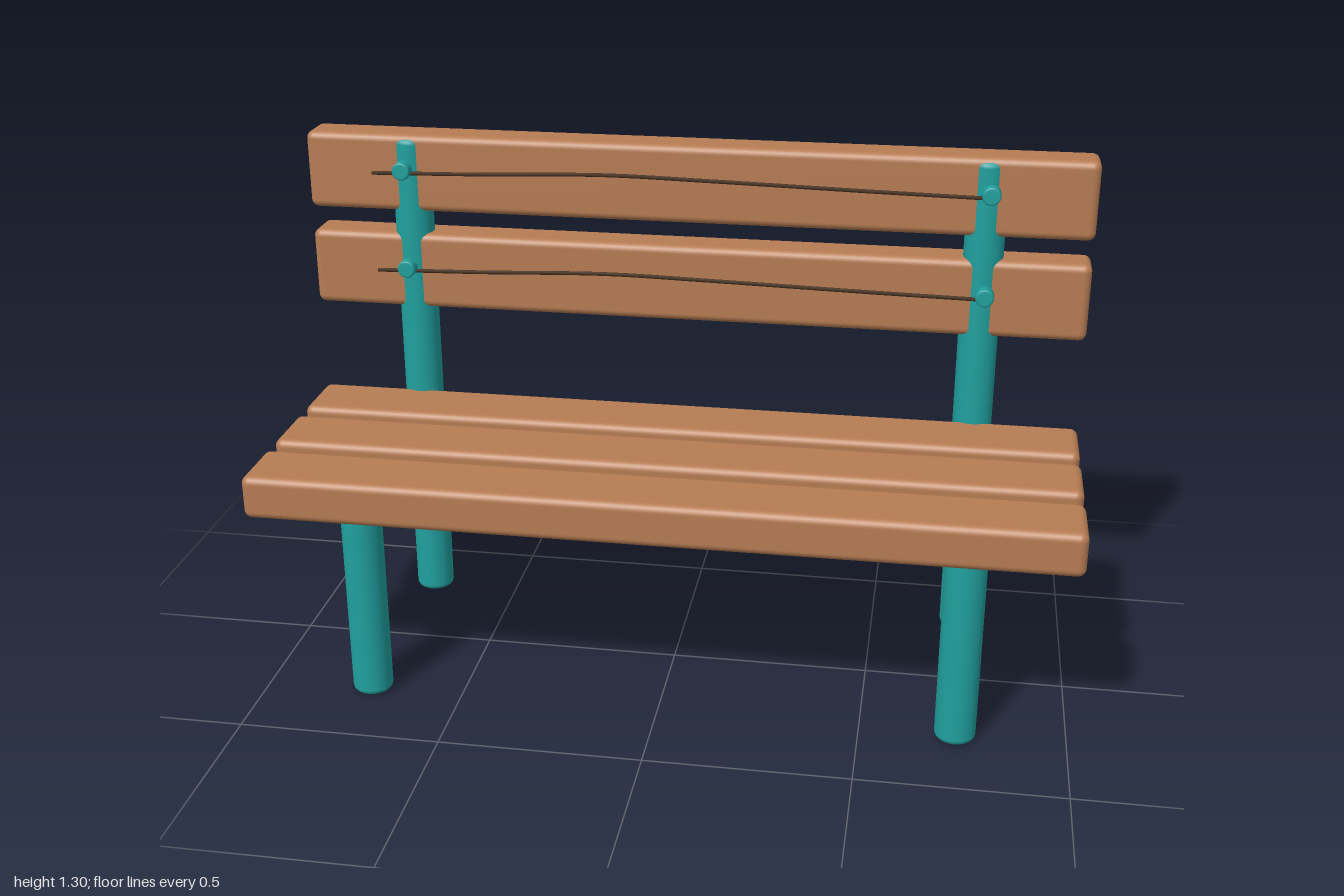
import * as THREE from 'three';
import { RoundedBoxGeometry } from 'three/addons/geometries/RoundedBoxGeometry.js';

const material = (name, color) => {
  const m = new THREE.MeshStandardMaterial({ color });
  m.name = name;
  return m;
};

// Round bar standing on y = 0 with softly rounded rims
function roundedBar(radius, height, bevel) {
  const points = [new THREE.Vector2(0, 0)];
  const arc = (cy, from) => {
    for (let i = 0; i <= 4; i++) {
      const a = from + (i / 4) * Math.PI / 2;
      points.push(new THREE.Vector2(radius - bevel + bevel * Math.cos(a), cy + bevel * Math.sin(a)));
    }
  };
  arc(bevel, -Math.PI / 2);
  arc(height - bevel, 0);
  points.push(new THREE.Vector2(0, height));
  return new THREE.LatheGeometry(points, 32);
}

export function createModel() {
  const wood = material('wood', 0xb67c53);
  const teal = material('teal metal', 0x20a09e);
  const dark = material('dark grain', 0x46301f);

  const bench = new THREE.Group();
  bench.name = 'bench';
  const add = (name, geometry, mat, x, y, z) => {
    const mesh = new THREE.Mesh(geometry, mat);
    mesh.name = name;
    mesh.position.set(x, y, z);
    bench.add(mesh);
    return mesh;
  };

  // Seat planks
  const seatGeometry = new RoundedBoxGeometry(2, 0.11, 0.18, 4, 0.02);
  for (const z of [0.275, 0.046, -0.182]) add('seatPlank', seatGeometry, wood, 0, 0.55, z);

  // Backrest planks, each with a grain line and two bolts
  const backGeometry = new RoundedBoxGeometry(2, 0.2, 0.11, 4, 0.02);
  const boltGeometry = roundedBar(0.023, 0.04, 0.005);
  const grainCurve = new THREE.CatmullRomCurve3([
    [-0.825, -0.012], [-0.55, -0.005], [-0.22, 0.007], [0.05, 0.003], [0.45, -0.006], [0.73, -0.011],
  ].map(([x, y]) => new THREE.Vector3(x, y, 0)));
  const grainGeometry = new THREE.TubeGeometry(grainCurve, 40, 0.005, 6);
  for (const y of [0.94, 1.2]) {
    add('backPlank', backGeometry, wood, 0, y, -0.309);
    add('grainLine', grainGeometry, dark, 0, y + 0.013, -0.247);
    for (const side of [-1, 1]) {
      add('bolt', boltGeometry, teal, side * 0.742, y + 0.013, -0.26).rotation.x = Math.PI / 2;
    }
  }

  // Short front legs and tall rear posts
  const legGeometry = roundedBar(0.05, 0.51, 0.015);
  const postGeometry = roundedBar(0.05, 1.29, 0.015);
  for (const side of [-1, 1]) {
    add('frontLeg', legGeometry, teal, side * 0.733, 0, 0.275);
    add('rearPost', postGeometry, teal, side * 0.733, 0, -0.297);
  }
  return bench;
}
